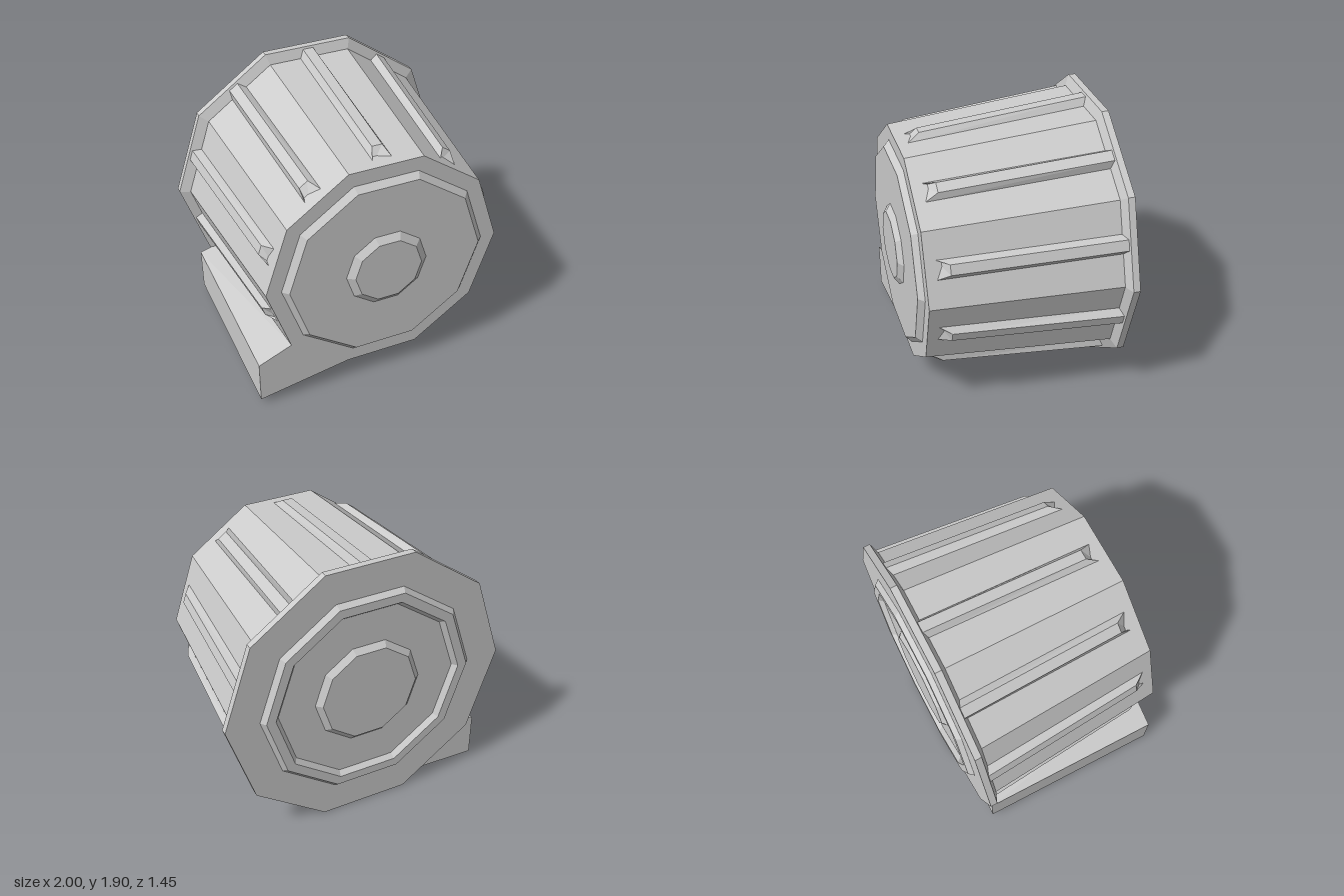
import * as THREE from 'three';

const SIDES = 10;
const CENTER_Y = 0.955;
const APOTHEM = Math.cos(Math.PI / SIDES);
const material = new THREE.MeshStandardMaterial({ color: 0xcccccc, flatShading: true });

function addMesh(parent, name, geometry) {
  const mesh = new THREE.Mesh(geometry, material);
  mesh.name = name;
  parent.add(mesh);
  return mesh;
}

// Ten-sided turned part along z; profile is [radius, z] from back to front
function turned(profile) {
  const points = profile.map(([r, z]) => new THREE.Vector2(r, z));
  const geometry = new THREE.LatheGeometry(points, SIDES, Math.PI / 2).rotateX(Math.PI / 2).toNonIndexed();
  geometry.computeVertexNormals();
  return geometry;
}

// Solid between two matching sections, each counter-clockwise seen from the front
function loft(front, back) {
  const positions = [];
  const n = front.length;
  const tri = (a, b, c) => positions.push(...a, ...b, ...c);
  for (let i = 0; i < n; i++) {
    const j = (i + 1) % n;
    tri(front[i], back[i], back[j]);
    tri(front[i], back[j], front[j]);
    if (i > 0 && i < n - 1) {
      tri(front[0], front[i], front[j]);
      tri(back[0], back[j], back[i]);
    }
  }
  const geometry = new THREE.BufferGeometry();
  geometry.setAttribute('position', new THREE.Float32BufferAttribute(positions, 3));
  geometry.computeVertexNormals();
  return geometry;
}

export function createModel() {
  const model = new THREE.Group();
  model.name = 'ribbedDrum';
  const drum = new THREE.Group();
  drum.name = 'drum';
  drum.position.y = CENTER_Y;
  model.add(drum);

  // Tapered body and rear flange
  addMesh(drum, 'body', turned([[0, -0.64], [0.93, -0.64], [0.82, 0.65], [0, 0.65]]));
  addMesh(drum, 'rearFlange', turned([[0, -0.69], [1, -0.69], [1, -0.643], [0.93, -0.615], [0, -0.615]]));

  // Front panel with its boss
  addMesh(drum, 'frontPanel', turned([[0.715, 0.645], [0.715, 0.65], [0.675, 0.69], [0, 0.69]]));
  addMesh(drum, 'frontBoss', turned([[0.285, 0.69], [0.235, 0.725], [0, 0.725]]));

  // Raised rear ring with its boss
  addMesh(drum, 'rearRing', turned([[0.64, -0.69], [0.67, -0.725], [0.735, -0.725], [0.765, -0.69]]));
  addMesh(drum, 'rearBoss', turned([[0, -0.725], [0.34, -0.725], [0.38, -0.69]]));

  // Ribs along the middle of each side, except the one covered by the foot
  const ribGeometry = loft(
    [[-0.065, 0.75, 0.58], [0.065, 0.75, 0.58], [0.065, 0.785, 0.58], [0.035, 0.835, 0.5], [-0.035, 0.835, 0.5], [-0.065, 0.785, 0.58]],
    [[-0.065, 0.85, -0.64], [0.065, 0.85, -0.64], [0.065, 0.884, -0.64], [0.037, 0.937, -0.64], [-0.037, 0.937, -0.64], [-0.065, 0.884, -0.64]]
  );
  for (let i = 0; i < SIDES; i++) {
    if (i === 4) continue;
    addMesh(drum, 'rib', ribGeometry).rotation.z = (i * 2 * Math.PI) / SIDES;
  }

  // Foot joining the two lower right corners of the body
  const footSection = (r, z) => {
    const lowY = CENTER_Y - r * APOTHEM;
    const highY = CENTER_Y - r * Math.sin(Math.PI / 5);
    return [
      [-0.895, 0.055, z],
      [-r * Math.sin(Math.PI / 10), lowY, z],
      [-r * Math.cos(Math.PI / 5), highY, z],
      [-0.895, 0.37, z],
    ];
  };
  addMesh(model, 'foot', loft(footSection(0.82, 0.65), footSection(0.93, -0.64)));

  return model;
}
